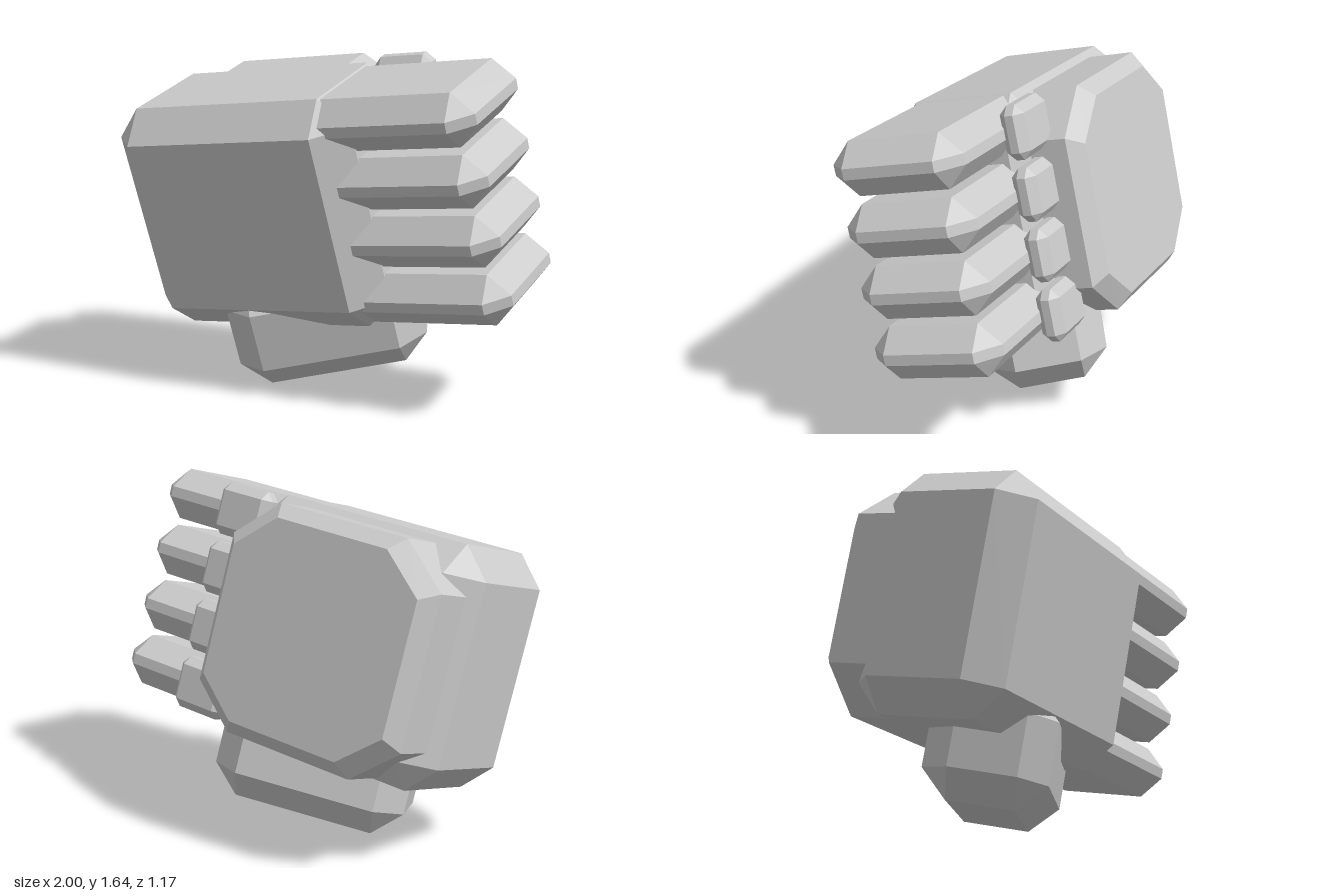
import * as THREE from 'three';
import { ConvexGeometry } from 'three/addons/geometries/ConvexGeometry.js';

const material = new THREE.MeshStandardMaterial({ color: 0xcccccc, flatShading: true });

function hull(name, points) {
  const mesh = new THREE.Mesh(new ConvexGeometry(points), material);
  mesh.name = name;
  return mesh;
}

// Box with every edge cut by a flat bevel b; lo and hi are opposite corners.
function bevelBox(name, lo, hi, b) {
  const size = hi.map((h, i) => h - lo[i]);
  const half = size.map((s) => s / 2);
  const points = [];
  for (const sx of [-1, 1]) for (const sy of [-1, 1]) for (const sz of [-1, 1]) {
    for (let axis = 0; axis < 3; axis++) {
      // each corner becomes three points, one on each neighbouring face
      const p = half.map((h, i) => (i === axis ? h : h - b));
      points.push(new THREE.Vector3(sx * p[0], sy * p[1], sz * p[2]));
    }
  }
  const mesh = hull(name, points);
  mesh.position.set(...lo.map((l, i) => l + half[i]));
  return mesh;
}

// Eight-sided ring in the xy plane at depth z
function octagon(x0, x1, y0, y1, cutX, cutY, z) {
  const cx = (x0 + x1) / 2, cy = (y0 + y1) / 2;
  const hx = (x1 - x0) / 2, hy = (y1 - y0) / 2;
  const ring = [];
  for (const sx of [-1, 1]) for (const sy of [-1, 1]) {
    ring.push(new THREE.Vector3(cx + sx * hx, cy + sy * (hy - cutY), z));
    ring.push(new THREE.Vector3(cx + sx * (hx - cutX), cy + sy * hy, z));
  }
  return ring;
}

export function createModel() {
  const model = new THREE.Group();
  model.name = 'fist';

  // Tilted frame: x along the fingers, y across the knuckles, z out of the palm
  const hand = new THREE.Group();
  hand.name = 'hand';
  const ez = new THREE.Vector3(0.044, -0.25, 0.967).normalize();
  const ey = ez.clone().cross(new THREE.Vector3(0.994, 0.104, -0.018)).normalize();
  const ex = ey.clone().cross(ez);
  hand.quaternion.setFromRotationMatrix(new THREE.Matrix4().makeBasis(ex, ey, ez));
  hand.position.y = 0.9;
  model.add(hand);

  // Palm block
  hand.add(bevelBox('palm', [-0.95, -0.49, -0.325], [0.34, 0.64, 0.45], 0.14));

  // Octagonal plate on the back of the hand
  hand.add(hull('backPlate', [
    ...octagon(-0.9, 0.265, -0.475, 0.61, 0.23, 0.19, -0.2),
    ...octagon(-0.9, 0.265, -0.475, 0.61, 0.23, 0.19, -0.44),
    ...octagon(-0.83, 0.2, -0.41, 0.545, 0.21, 0.17, -0.505),
  ]));

  // Four fingers, each with a small knuckle guard behind it
  for (let i = 0; i < 4; i++) {
    const y = 0.508 - i * 0.285;
    hand.add(bevelBox('finger' + (i + 1), [0.05, y - 0.125, -0.25], [0.955, y + 0.125, 0.396], 0.1));
    hand.add(bevelBox('knuckleGuard' + (i + 1), [0.18, y - 0.125, -0.357], [0.485, y + 0.125, -0.237], 0.04));
  }

  // Thumb, turned about the hand's y axis and sunk into the palm
  const thumb = bevelBox('thumb', [-0.465, -0.275, -0.2875], [0.465, 0.275, 0.2875], 0.13);
  thumb.position.set(-0.17, -0.525, 0.065);
  thumb.rotation.y = THREE.MathUtils.degToRad(25);
  hand.add(thumb);

  return model;
}
